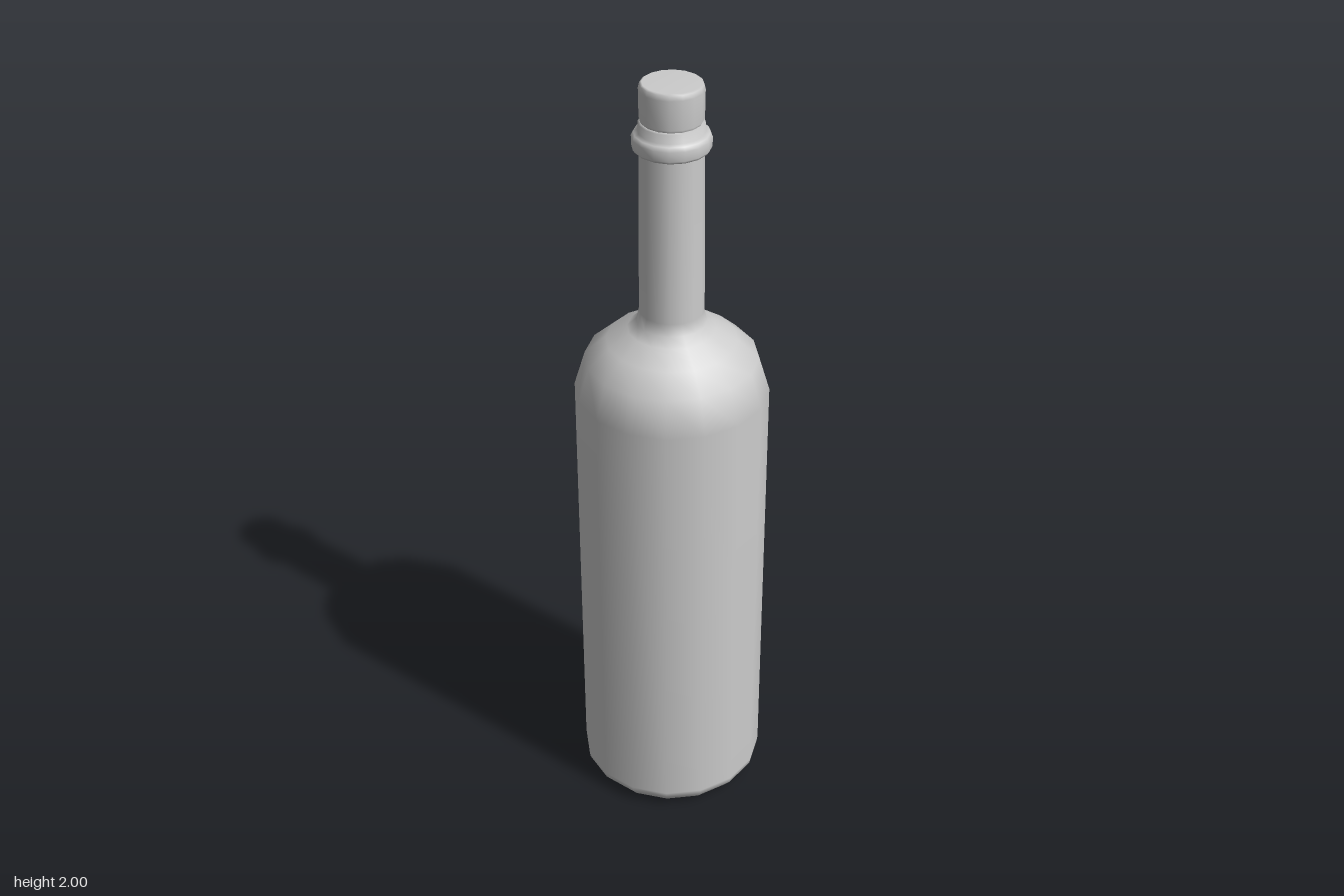
import * as THREE from 'three';

const SIDES = 16;
const RADIUS = 0.24;
const material = new THREE.MeshStandardMaterial({ color: 0xcccccc });

// Turned part from [radius, height] pairs, listed bottom to top
function turned(name, profile) {
  const points = profile.map(([r, y]) => new THREE.Vector2(r, y));
  const mesh = new THREE.Mesh(new THREE.LatheGeometry(points, SIDES), material);
  mesh.name = name;
  return mesh;
}

// Paper strip bent around the faceted body, centred towards the back
function wrappedLabel(bottom, top, start, facets) {
  const step = (2 * Math.PI) / SIDES;
  const geometry = new THREE.PlaneGeometry(1, top - bottom, facets * 2, 1);
  const pos = geometry.attributes.position;
  const normal = geometry.attributes.normal;
  for (let i = 0; i < pos.count; i++) {
    const angle = start + (pos.getX(i) + 0.5) * facets * step;
    // distance to the flat facet at this angle
    const local = angle - (Math.floor(angle / step + 1e-6) + 0.5) * step;
    const r = ((RADIUS + 0.003) * Math.cos(step / 2)) / Math.cos(local);
    const x = -Math.sin(angle), z = -Math.cos(angle);
    pos.setXYZ(i, x * r, pos.getY(i) + (top + bottom) / 2, z * r);
    normal.setXYZ(i, x, 0, z);
  }
  const paper = material.clone();
  paper.side = THREE.DoubleSide;
  const mesh = new THREE.Mesh(geometry, paper);
  mesh.name = 'label';
  return mesh;
}

export function createModel() {
  const bottle = new THREE.Group();
  bottle.name = 'bottle';

  // Body with hollowed base, shoulder and neck
  bottle.add(turned('glassBody', [
    [0, 0.055], [0.1, 0.047], [0.17, 0.022], [0.195, 0.003], [0.205, 0],
    [0.218, 0.01], [0.238, 0.035], [RADIUS, 0.05], [RADIUS, 1.2],
    [0.213, 1.29], [0.16, 1.338], [0.108, 1.37], [0.086, 1.39],
    [0.079, 1.42], [0.076, 1.85],
  ]));

  // Lip ring and collar
  bottle.add(turned('lipRing', [
    [0.074, 1.84], [0.088, 1.84], [0.093, 1.847], [0.093, 1.87],
    [0.088, 1.88], [0.079, 1.884], [0.077, 1.905], [0.07, 1.908], [0, 1.908],
  ]));

  // Stopper
  bottle.add(turned('cork', [
    [0.07, 1.905], [0.075, 1.914], [0.076, 1.985], [0.073, 1.997], [0.068, 2], [0, 2],
  ]));

  bottle.add(wrappedLabel(0.3, 0.95, -Math.PI / 4, 5.5));
  return bottle;
}
